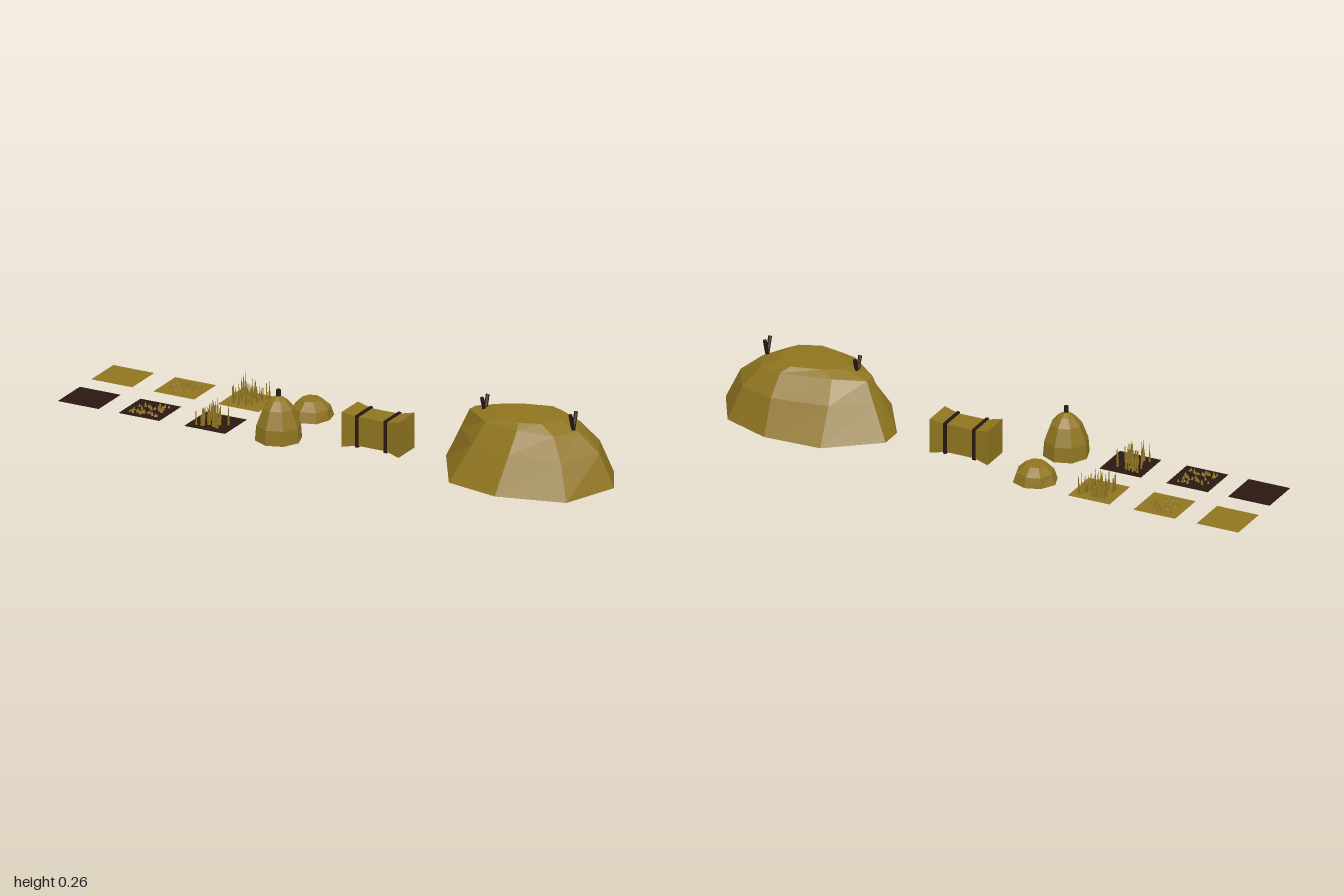
import * as THREE from 'three';
import { mergeGeometries } from 'three/addons/utils/BufferGeometryUtils.js';

const material = (color) => new THREE.MeshStandardMaterial({ color, flatShading: true, side: THREE.DoubleSide });
const V = (x, y, z) => new THREE.Vector3(x, y, z);

// Small seeded generator
function seeded(seed) {
  return () => (seed = (seed * 16807) % 2147483647) / 2147483647;
}

// Faceted skin through rings of points (bottom to top), closed by a tip and open below
function skin(rings, tip) {
  const pos = [];
  const tri = (...points) => points.forEach((p) => pos.push(p.x, p.y, p.z));
  const n = rings[0].length;
  for (let i = 0; i < n; i++) {
    const j = (i + 1) % n;
    for (let k = 0; k + 1 < rings.length; k++) {
      const a = rings[k], b = rings[k + 1];
      tri(a[i], b[i], a[j]);
      tri(a[j], b[i], b[j]);
    }
    const top = rings[rings.length - 1];
    tri(top[i], tip, top[j]);
  }
  const g = new THREE.BufferGeometry();
  g.setAttribute('position', new THREE.Float32BufferAttribute(pos, 3));
  g.computeVertexNormals();
  return g;
}

export function createModel() {
  const root = new THREE.Group();
  const straw = material(0x8f7520);
  const dark = material(0x2a1712);

  const add = (parent, name, geometry, mat, x = 0, y = 0, z = 0) => {
    const m = new THREE.Mesh(geometry, mat);
    m.name = name;
    m.position.set(x, y, z);
    parent.add(m);
    return m;
  };
  const group = (name) => {
    const g = new THREE.Group();
    g.name = name;
    root.add(g);
    return g;
  };
  const pole = (parent, name, from, to, radius) => {
    const d = to.clone().sub(from);
    const m = add(parent, name, new THREE.CylinderGeometry(radius, radius, d.length(), 6), dark);
    m.position.copy(from).add(to).multiplyScalar(0.5);
    m.quaternion.setFromUnitVectors(V(0, 1, 0), d.normalize());
  };

  // Field patches: bare, stubble and tall crop, in a straw row and a soil row
  const stalks = (seed, low, high, radius) => {
    const rnd = seeded(seed);
    const parts = [];
    for (let i = 0; i < 42; i++) {
      const h = low + (high - low) * rnd();
      const g = new THREE.ConeGeometry(radius, h, 4, 1, true);
      g.translate(0, h / 2, 0);
      g.rotateZ((rnd() - 0.5) * 0.12);
      g.rotateY(rnd() * 6.28);
      g.translate((rnd() - 0.5) * 0.1, 0, (rnd() - 0.5) * 0.1);
      parts.push(g);
    }
    return mergeGeometries(parts);
  };
  [[-0.127, straw, 'straw'], [0.104, dark, 'soil']].forEach(([z, mat, label], row) => {
    const field = group(label + 'Field');
    [-0.922, row ? -0.692 : -0.687, -0.443].forEach((x, stage) => {
      const ground = new THREE.PlaneGeometry(0.155, 0.152).rotateX(-Math.PI / 2);
      add(field, label + 'Ground', ground, mat, x, 0.03, z);
      if (stage === 1) add(field, 'stubble', stalks(71 + row, 0.008, 0.016, 0.005), straw, x, 0.03, z);
      if (stage === 2) add(field, 'tallCrop', stalks(913 + row, 0.045, 0.082, 0.004), straw, x, 0.03, z);
    });
  });

  // Tall haystack around a centre pole
  const ring = (r, y, wobble = () => 1) => Array.from({ length: 8 }, (_, i) => {
    const a = (i + 0.1) * Math.PI / 4, s = r * wobble();
    return V(Math.cos(a) * s, y, Math.sin(a) * s);
  });
  const stack = group('haystack');
  stack.position.set(-0.204, 0, 0.105);
  const stackRings = [[0.08, 0.018], [0.076, 0.07], [0.053, 0.13], [0.028, 0.158]].map(([r, y]) => ring(r, y));
  add(stack, 'haystackBody', skin(stackRings, V(0, 0.176, 0)), straw);
  pole(stack, 'haystackPole', V(0, 0.003, 0), V(0, 0.193, 0), 0.008);

  // Low, uneven hay mound
  const rnd = seeded(4211);
  const wobble = () => 0.94 + 0.1 * rnd();
  const moundRings = [[0.077, 0.02], [0.066, 0.055], [0.038, 0.082]].map(([r, y]) => ring(r, y, wobble));
  add(root, 'hayMound', skin(moundRings, V(0.005, 0.084, -0.005)), straw, -0.207, 0, -0.127);

  // Bale pinched by two straps
  const bale = group('bale');
  bale.position.set(0.108, 0.067, -0.015);
  const body = new THREE.BoxGeometry(0.215, 0.124, 0.112, 4, 1, 1);
  const p = body.attributes.position;
  for (let i = 0; i < p.count; i++) {
    const s = Math.abs(p.getX(i)) > 0.1 ? 1 : 0.83;
    p.setY(i, p.getY(i) * s);
    p.setZ(i, p.getZ(i) * s);
  }
  body.computeVertexNormals();
  add(bale, 'baleBody', body, straw);
  for (const x of [-0.054, 0.054]) add(bale, 'baleStrap', new THREE.BoxGeometry(0.011, 0.113, 0.103), dark, x);

  // Hay shelter: each row is base x, z, shoulder x, y, z and bulge of the wall
  const shelter = group('hayShelter');
  const profile = [
    [0.365, -0.10, 0.46, 0.206, -0.05, 1],
    [0.545, -0.225, 0.565, 0.212, -0.10, 1.06],
    [0.745, -0.243, 0.74, 0.212, -0.135, 1.08],
    [0.92, -0.165, 0.83, 0.2, -0.10, 1.1],
    [1.0, -0.02, 0.865, 0.2, -0.015, 1.13],
    [0.92, 0.165, 0.82, 0.2, 0.07, 1.08],
    [0.69, 0.24, 0.70, 0.212, 0.105, 1],
    [0.487, 0.187, 0.57, 0.212, 0.085, 1],
    [0.365, -0.015, 0.458, 0.208, -0.01, 1],
  ];
  const centre = V(0.68, 0, -0.01);
  const base = profile.map(([x, z], i) => V(x, i % 2 ? 0.016 : 0.022, z));
  const shoulder = profile.map((q) => V(q[2], q[3], q[4]));
  const wall = base.map((b, i) => {
    const m = b.clone().lerp(shoulder[i], 0.63), s = profile[i][5];
    return V(centre.x + (m.x - centre.x) * s, m.y, centre.z + (m.z - centre.z) * s);
  });
  const crown = shoulder.map((q) => V(centre.x + (q.x - centre.x) * 0.6, 0.231, centre.z + (q.z - centre.z) * 0.8));
  add(shelter, 'shelterCover', skin([base, wall, shoulder, crown], V(0.68, 0.233, -0.01)), straw);

  // Crossed support poles
  for (const x of [0.515, 0.85]) {
    for (const s of [-1, 1]) {
      pole(shelter, 'shelterPole', V(x, 0.006, -0.013 + s * 0.068), V(x, 0.264, -0.01 - s * 0.02), 0.0065);
    }
  }
  return root;
}
